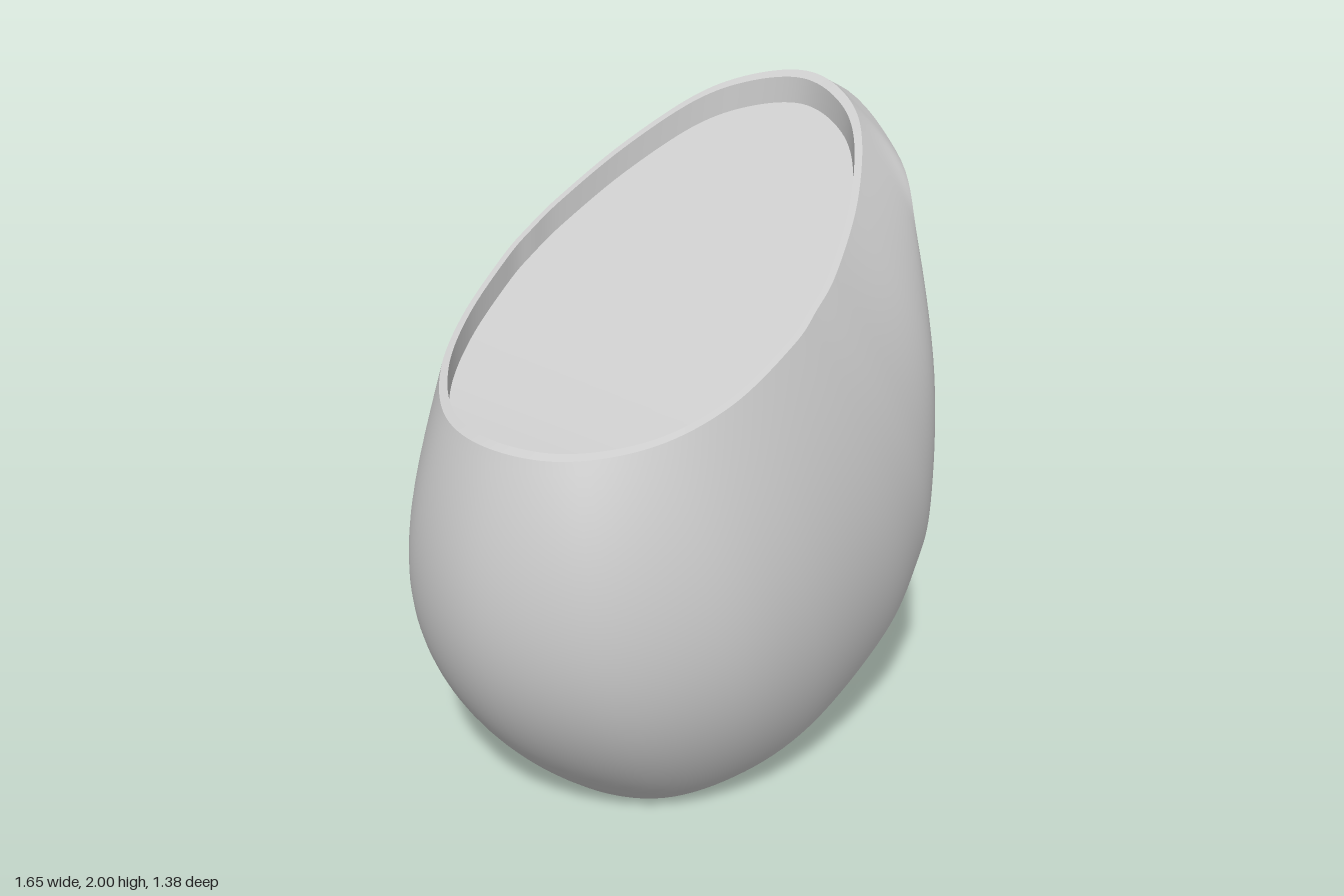
import * as THREE from 'three';
import { mergeVertices } from 'three/addons/utils/BufferGeometryUtils.js';

// Stations around one half, from the low side to the raised tip:
// back edge x, y, z | top rim x, y, z | outward bow x, z
const stations = [
  [-0.42, 0, 0, -0.72, 1.26, 0, -0.25, 0],
  [-0.36, 0.03, 0.28, -0.66, 1.265, 0.22, -0.2, 0.1],
  [-0.19, 0.1, 0.46, -0.5, 1.305, 0.4, -0.08, 0.15],
  [0.05, 0.205, 0.565, -0.3, 1.385, 0.505, -0.02, 0.125],
  [0.36, 0.4, 0.615, -0.08, 1.5, 0.545, 0, 0.1],
  [0.49, 0.6, 0.635, 0.03, 1.565, 0.54, 0, 0.085],
  [0.535, 0.8, 0.645, 0.15, 1.635, 0.52, 0, 0.068],
  [0.565, 1.2, 0.61, 0.36, 1.77, 0.44, 0, 0.05],
  [0.615, 1.6, 0.49, 0.56, 1.905, 0.31, 0.01, 0.02],
  [0.7, 1.82, 0.345, 0.67, 1.972, 0.17, 0, 0.01],
  [0.82, 1.95, 0, 0.72, 2.0, 0, 0, 0],
];

// Closed smooth loop through the stations and their mirror image in z
function loop(pick) {
  const half = stations.map(pick);
  const mirrored = half.slice(1, -1).reverse().map((p) => new THREE.Vector3(p.x, p.y, -p.z));
  const curve = new THREE.CatmullRomCurve3([...half, ...mirrored], true, 'catmullrom', 0.5);
  return (u) => curve.getPoint(u % 1);
}

// Smooth grid surface from a rule giving a point for (u, v)
function surface(name, rule, nu, nv, material) {
  const positions = [];
  const index = [];
  for (let i = 0; i <= nu; i++) {
    for (let j = 0; j <= nv; j++) {
      positions.push(...rule(i / nu, j / nv).toArray());
      if (i < nu && j < nv) {
        const a = i * (nv + 1) + j;
        const b = a + nv + 1;
        index.push(a, b, b + 1, a, b + 1, a + 1);
      }
    }
  }
  let geometry = new THREE.BufferGeometry();
  geometry.setAttribute('position', new THREE.Float32BufferAttribute(positions, 3));
  geometry.setIndex(index);
  geometry = mergeVertices(geometry, 1e-5);
  geometry.computeVertexNormals();
  const mesh = new THREE.Mesh(geometry, material);
  mesh.name = name;
  return mesh;
}

export function createModel() {
  const group = new THREE.Group();
  group.name = 'eggShapedShell';
  const material = new THREE.MeshStandardMaterial({ color: 0xcccccc, side: THREE.DoubleSide });

  const backEdge = loop((s) => new THREE.Vector3(s[0], s[1], s[2]));
  const topRim = loop((s) => new THREE.Vector3(s[3], s[4], s[5]));
  const bow = loop((s) => new THREE.Vector3(s[6], 0, s[7]));

  // Lip's inner edge, shrunk toward the middle of the opening
  const centre = new THREE.Vector3(0, 1.56, 0);
  const innerRim = (u) => topRim(u).lerp(centre, 0.038);
  const depth = 0.08;
  const floorEdge = (u) => innerRim(u).setY(innerRim(u).y - depth);

  // Bulging outer skin between the back edge and the top rim
  const skin = (u, v) => {
    const bulge = 4 * v * (1 - v) * (1.2 - 0.42 * v);
    return backEdge(u).lerp(topRim(u), v).addScaledVector(bow(u), bulge);
  };
  group.add(surface('outerShell', skin, 160, 32, material));

  // Curved back face, straight across in z
  const back = (u, v) => {
    const p = backEdge(u / 2);
    return p.setZ(p.z * (2 * v - 1));
  };
  group.add(surface('backFace', back, 80, 8, material));

  // Narrow lip, the wall inside it and the sunken floor
  group.add(surface('rimLip', (u, v) => topRim(u).lerp(innerRim(u), v), 160, 1, material));
  group.add(surface('recessWall', (u, v) => innerRim(u).lerp(floorEdge(u), v), 160, 1, material));
  const floor = (u, v) => {
    const p = floorEdge(u / 2);
    return p.setZ(p.z * (1 - 2 * v));
  };
  group.add(surface('recessFloor', floor, 80, 8, material));

  return group;
}
